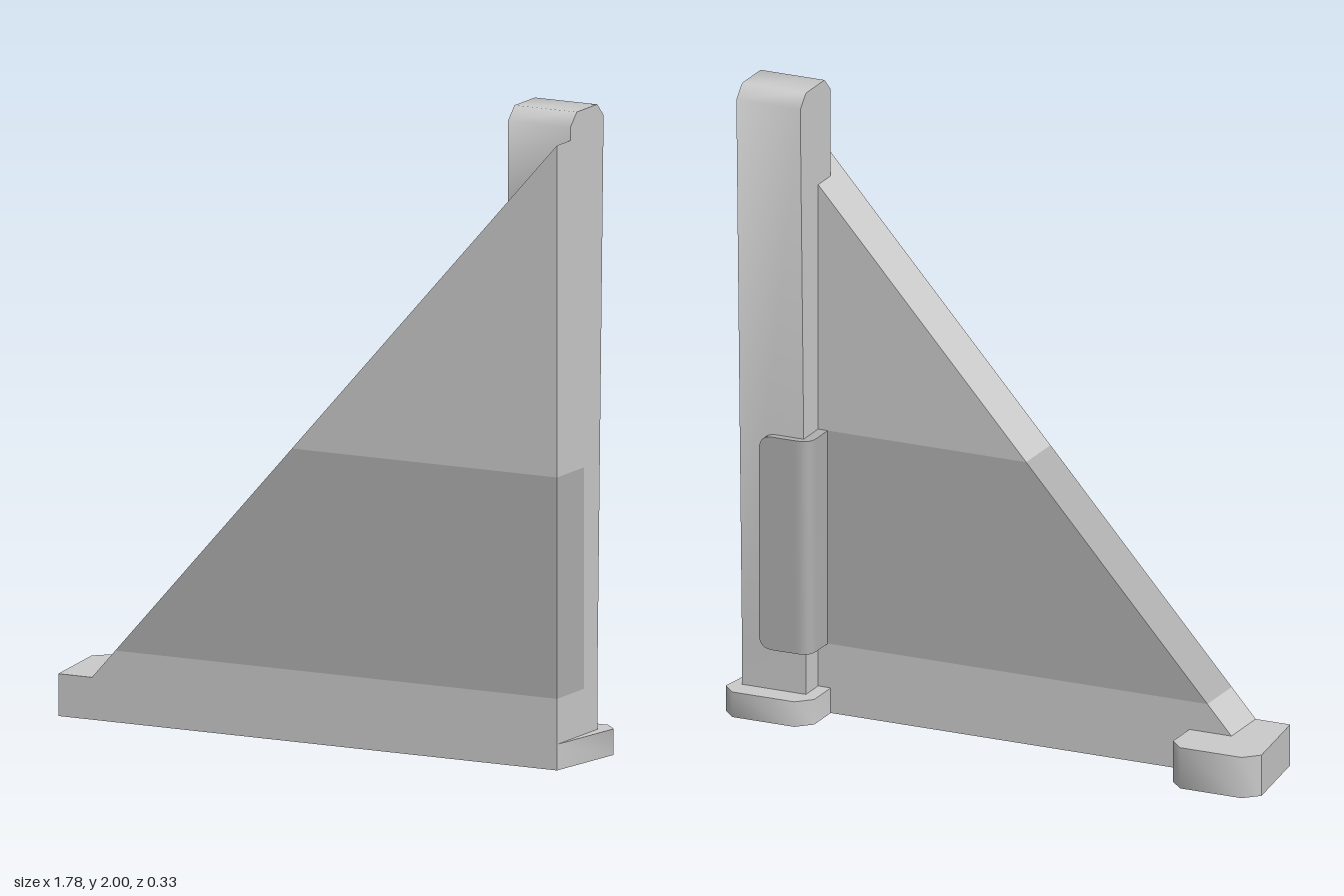
import * as THREE from 'three';
import { toCreasedNormals } from 'three/addons/utils/BufferGeometryUtils.js';

const light = new THREE.MeshStandardMaterial({ color: 0xcccccc });
const dark = new THREE.MeshStandardMaterial({ color: 0xb0b0b0 });

const FRONT = 0.165; // front plane of panel and feet
const SIDE = 0.85; // outer plane of post and panel

function extrude(shape, depth) {
  return new THREE.ExtrudeGeometry(shape, { depth, bevelEnabled: false, curveSegments: 6 });
}

function polygon(points) {
  return new THREE.Shape(points.map(([x, y]) => new THREE.Vector2(x, y)));
}

// Plan outline given as [x, z], raised from y0 to y1
function slab(points, y0, y1) {
  const g = extrude(polygon(points.map(([x, z]) => [x, -z])), y1 - y0);
  return g.rotateX(-Math.PI / 2).translate(0, y0, 0);
}

export function createModel() {
  const model = new THREE.Group();

  function add(name, geometry, material, crease = 0.9) {
    const mesh = new THREE.Mesh(toCreasedNormals(geometry, crease), material);
    mesh.name = name;
    model.add(mesh);
  }

  // Triangular panel in three bands, cut along its sloping edge
  const slopeX = (y) => -0.74 + ((y - 0.13) * (SIDE + 0.74)) / (1.92 - 0.13);
  const panel = (name, points, material) =>
    add(name, extrude(polygon(points), FRONT + 0.005).translate(0, 0, -0.005), material, 0.2);

  panel('panelBase', [
    [-0.74, 0], [SIDE, 0], [SIDE, 0.22], [slopeX(0.22), 0.22], [-0.74, 0.13],
  ], light);
  panel('panelBand', [
    [slopeX(0.22), 0.22], [SIDE, 0.22], [SIDE, 0.9], [slopeX(0.9), 0.9],
  ], dark);
  panel('panelTop', [[slopeX(0.9), 0.9], [SIDE, 0.9], [SIDE, 1.92]], light);

  // Upright post, side profile as [z, y]: tapered back and chamfered head
  const post = extrude(polygon([
    [-0.005, 0], [-0.005, 1.5], [0.08, 1.58], [0.08, 1.96], [0.04, 2],
    [-0.09, 2], [-0.13, 1.96], [-0.09, 0.2], [-0.09, 0],
  ].reverse()), 0.213);
  add('post', post.rotateY(-Math.PI / 2).translate(SIDE, 0, 0), light);

  // Feet with cut back corners and tapered outer sides
  add('tallFoot', slab([
    [-0.855, FRONT], [-0.6, FRONT], [-0.6, -0.12], [-0.645, -0.165],
    [-0.85, -0.165], [-0.895, -0.12],
  ], 0, 0.13), light);
  add('lowFoot', slab([
    [0.595, FRONT], [SIDE, FRONT], [0.89, -0.12], [0.848, -0.165],
    [0.64, -0.165], [0.595, -0.12],
  ], 0, 0.08), light);

  // Grip plate wrapping the inner back edge of the post
  const [y0, y1, xOut, xIn, r] = [0.22, 0.9, 0.775, 0.605, 0.045];
  const back = new THREE.Shape();
  back.moveTo(0.66, y0);
  back.lineTo(xOut - r, y0);
  back.quadraticCurveTo(xOut, y0, xOut, y0 + r);
  back.lineTo(xOut, y1 - r);
  back.quadraticCurveTo(xOut, y1, xOut - r, y1);
  back.lineTo(0.66, y1);
  add('gripBack', extrude(back, 0.05).translate(0, 0, -0.13), dark, 0.6);

  const side = new THREE.Shape();
  side.moveTo(xIn, 0);
  side.lineTo(0.66, 0);
  side.lineTo(0.66, 0.13);
  side.lineTo(xIn + r, 0.13);
  side.quadraticCurveTo(xIn, 0.13, xIn, 0.13 - r);
  add('gripSide', extrude(side, y1 - y0).rotateX(-Math.PI / 2).translate(0, y0, 0), dark, 0.6);

  return model;
}
